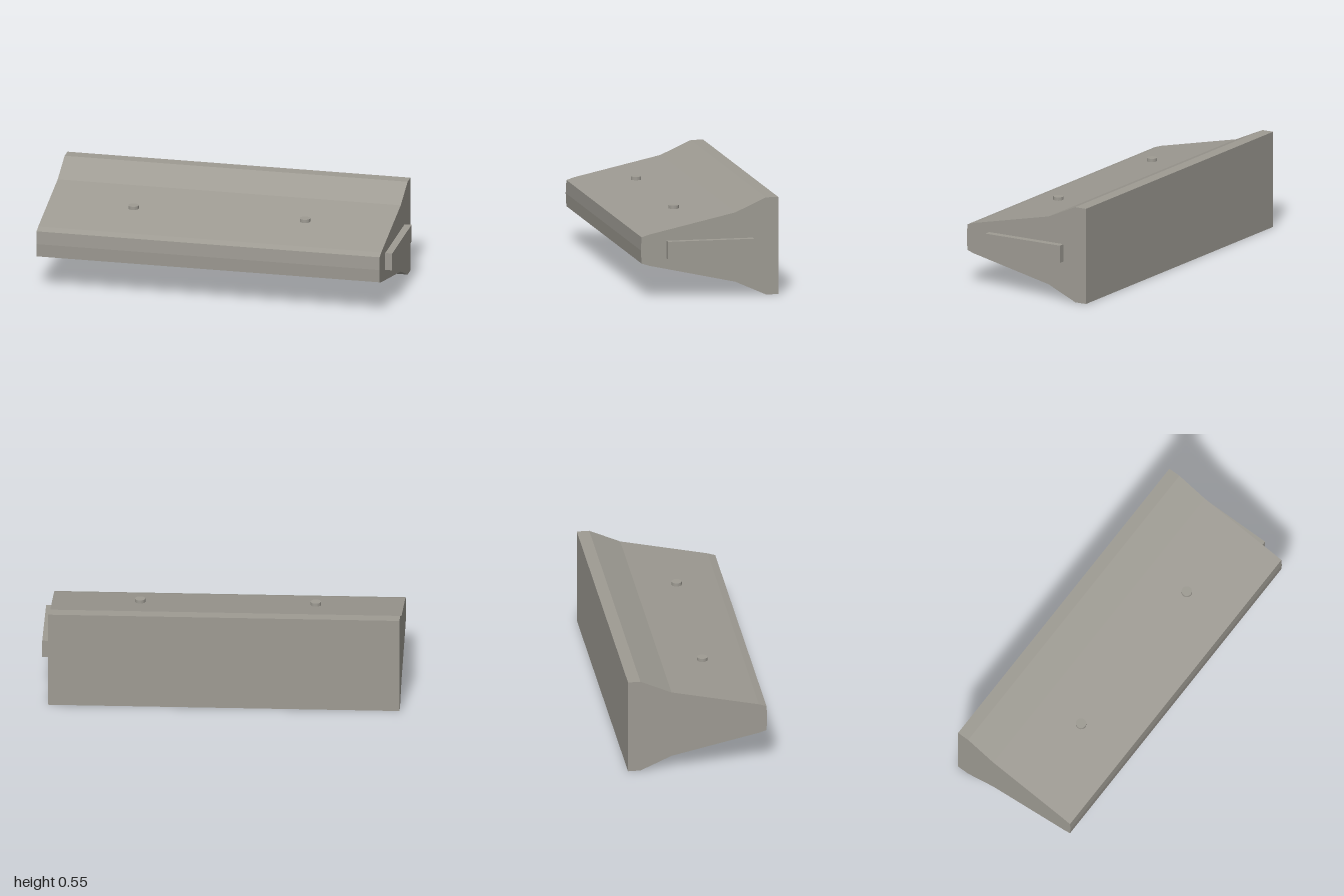
import * as THREE from 'three';

const MID = 0.2745;     // height of the horizontal symmetry plane
const END = 0.96;       // x of the body's left end
const LENGTH = 1 + END;

export function createModel() {
  const group = new THREE.Group();
  const material = new THREE.MeshStandardMaterial({ color: 0x9e9b93, flatShading: true });
  const add = (name, geometry, x = 0, y = 0, z = 0) => {
    const mesh = new THREE.Mesh(geometry, material);
    mesh.name = name;
    mesh.position.set(x, y, z);
    group.add(mesh);
  };

  // Flared body: half profile as (z, height above the middle), mirrored downwards
  const half = [
    [-0.392, 0.2745], [-0.322, 0.2745], [-0.147, 0.196],
    [0.345, 0.088], [0.388, 0.074],
  ];
  const profile = [
    ...half,
    [0.392, 0],
    ...half.map(([z, h]) => [z, -h]).reverse(),
  ];
  const shape = new THREE.Shape(profile.map(([z, h]) => new THREE.Vector2(-z, MID + h)));
  const body = new THREE.ExtrudeGeometry(shape, { depth: LENGTH, bevelEnabled: false });
  body.rotateY(Math.PI / 2);
  add('body', body, -1);

  // Raised bar on the left end, slightly sunk into the body
  add('endBar', new THREE.BoxGeometry(0.05, 0.1, 0.49), 0.975, MID, 0);

  // Small round studs above and below the sloping faces
  const stud = new THREE.CylinderGeometry(0.029, 0.029, 0.019, 24);
  for (const x of [-0.511, 0.469]) {
    for (const side of [1, -1]) {
      add(side > 0 ? 'topStud' : 'bottomStud', stud, x, MID + side * 0.157, 0.098);
    }
  }

  return group;
}
